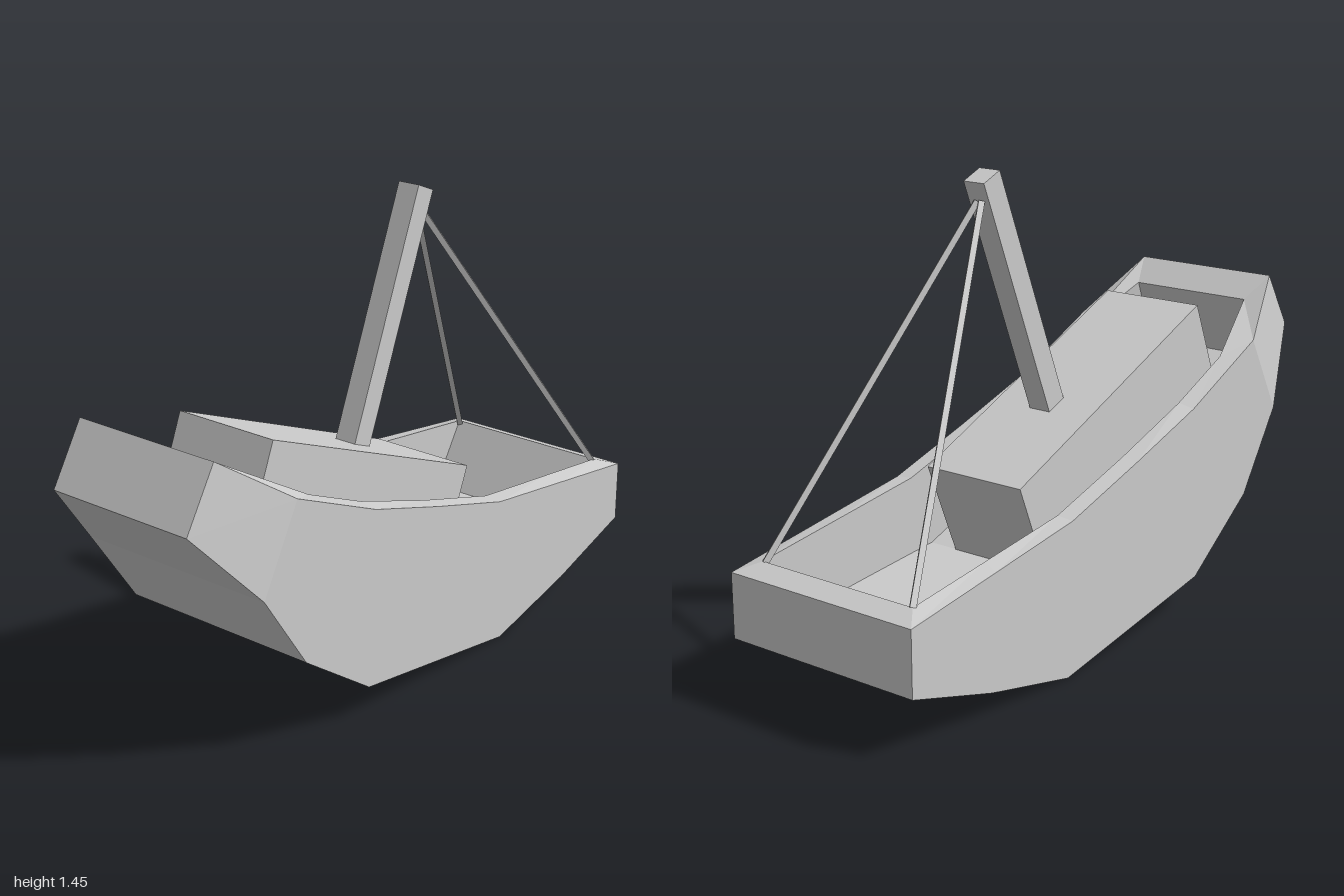
import * as THREE from 'three';

const material = new THREE.MeshStandardMaterial({ color: 0xcccccc, flatShading: true });
const TILT = -0.389; // bow-up trim of the deck fittings

function add(group, name, geometry) {
  const mesh = new THREE.Mesh(geometry, material);
  mesh.name = name;
  group.add(mesh);
  return mesh;
}

// Hull stations from bow to stern, each section a ring of four mirrored [x, y, halfWidth] points:
// keel edge, outer rim, inner rim, inner floor
const stations = [
  [[-1, 0.8, 0.25], [-0.89, 0.98, 0.25], [-0.8, 0.91, 0.21], [-0.88, 0.7, 0.21]],
  [[-0.8, 0.565, 0.335], [-0.66, 0.82, 0.335], [-0.55, 0.78, 0.28], [-0.63, 0.57, 0.28]],
  [[-0.63, 0.31, 0.335], [-0.32, 0.67, 0.335], [-0.32, 0.68, 0.28], [-0.4, 0.47, 0.28]],
  [[-0.35, 0.11, 0.335], [-0.02, 0.575, 0.335], [-0.02, 0.58, 0.28], [-0.1, 0.36, 0.28]],
  [[0.32, 0, 0.335], [0.3, 0.48, 0.335], [0.3, 0.485, 0.28], [0.21, 0.25, 0.28]],
  [[0.67, 0.08, 0.335], [0.65, 0.43, 0.335], [0.63, 0.443, 0.28], [0.52, 0.225, 0.28]],
  [[1, 0.18, 0.335], [1, 0.38, 0.335], [0.93, 0.405, 0.28], [0.8, 0.2, 0.28]],
];

function hullGeometry() {
  const rings = stations.map((s) => [...s, ...s.map(([x, y, z]) => [x, y, -z]).reverse()]);
  const positions = [];
  const quad = (a, b, c, d) => positions.push(...a, ...b, ...c, ...a, ...c, ...d);
  // Skin between neighbouring stations
  for (let i = 0; i < rings.length - 1; i++) {
    const a = rings[i], b = rings[i + 1];
    for (let k = 0; k < 8; k++) {
      const n = (k + 1) % 8;
      quad(a[k], b[k], b[n], a[n]);
    }
  }
  // End plate, rim and inner wall at bow and stern
  const bow = rings[0], stern = rings[rings.length - 1];
  for (let k = 0; k < 3; k++) {
    quad(bow[k], bow[k + 1], bow[6 - k], bow[7 - k]);
    quad(stern[7 - k], stern[6 - k], stern[k + 1], stern[k]);
  }
  const geometry = new THREE.BufferGeometry();
  geometry.setAttribute('position', new THREE.Float32BufferAttribute(positions, 3));
  geometry.computeVertexNormals();
  return geometry;
}

// Square bar between two points
function bar(group, name, from, to, size) {
  const dir = to.clone().sub(from);
  const mesh = add(group, name, new THREE.BoxGeometry(size, dir.length(), size));
  mesh.position.copy(from).add(to).multiplyScalar(0.5);
  mesh.quaternion.setFromUnitVectors(new THREE.Vector3(0, 1, 0), dir.normalize());
  return mesh;
}

export function createModel() {
  const ship = new THREE.Group();
  ship.name = 'ship';

  add(ship, 'hull', hullGeometry());

  // Deckhouse standing on the floor, its top centre at (-0.12, 0.74)
  const cabin = add(ship, 'cabin', new THREE.BoxGeometry(0.99, 0.35, 0.352).translate(0, -0.175, 0));
  cabin.position.set(-0.123, 0.738, 0.005);
  cabin.rotation.z = TILT;

  // Mast square to the cabin roof
  const mast = add(ship, 'mast', new THREE.BoxGeometry(0.077, 0.81, 0.075).translate(0, 0.395, 0));
  mast.position.set(-0.024, 0.697, 0.008);
  mast.rotation.z = TILT;

  // Stays from the masthead to the stern corners
  for (const side of [1, -1]) {
    bar(ship, side > 0 ? 'leftStay' : 'rightStay',
      new THREE.Vector3(0.295, 1.365, 0.005 + side * 0.008),
      new THREE.Vector3(0.925, 0.4, side * 0.275), 0.018);
  }
  return ship;
}
